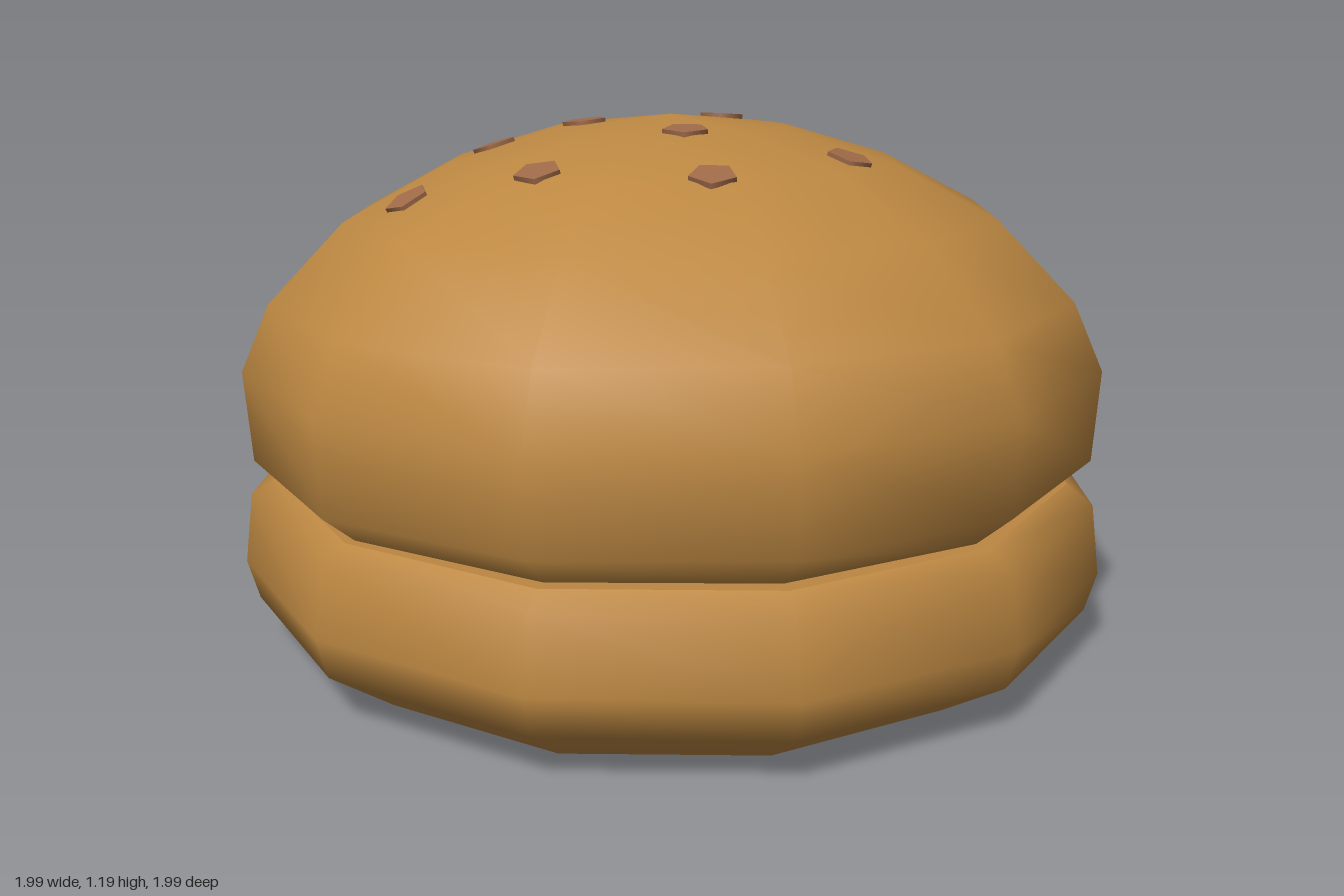
import * as THREE from 'three';

const SIDES = 12;
const TURN = THREE.MathUtils.degToRad(-5.2);

// Twelve-sided smooth shell turned from [radius, height] pairs, bottom to top
function turned(profile) {
  const points = profile.map(([r, y]) => new THREE.Vector2(r, y));
  return new THREE.LatheGeometry(points, SIDES, TURN, Math.PI * 2);
}

export function createModel() {
  const group = new THREE.Group();
  const crust = new THREE.MeshStandardMaterial({ name: 'goldenCrust', color: 0xbd8842 });
  const seedBrown = new THREE.MeshStandardMaterial({ name: 'seedBrown', color: 0x9f6a48 });

  const add = (name, geometry, material) => {
    const mesh = new THREE.Mesh(geometry, material);
    mesh.name = name;
    group.add(mesh);
    return mesh;
  };

  // Lower bun: the bulging middle leans a little, base and lid stay level
  const lower = turned([[0.82, 0], [0.975, 0.1], [1.0, 0.19], [0.98, 0.35], [0.92, 0.39]]);
  const pos = lower.attributes.position;
  for (let i = 0; i < pos.count; i++) {
    const y = pos.getY(i);
    if (y > 0.01 && y < 0.38) pos.setY(i, y - 0.012 * pos.getX(i));
  }
  add('lowerBun', lower, crust);

  // Flat discs closing the lower bun
  const disc = (r) => new THREE.CircleGeometry(r, SIDES).rotateX(-Math.PI / 2).rotateY(TURN);
  add('lowerBunLid', disc(0.92), crust).position.y = 0.39;
  add('lowerBunBase', new THREE.CircleGeometry(0.82, SIDES).rotateX(Math.PI / 2).rotateY(TURN), crust);

  // Domed upper bun, set slightly askew with its rim sunk into the lower bun
  const dome = turned([
    [0.88, 0.36], [0.97, 0.435], [0.985, 0.64], [0.92, 0.79],
    [0.75, 0.965], [0.52, 1.085], [0.27, 1.16], [0, 1.188],
  ]);
  dome.translate(0, -0.39, 0);
  const upper = add('upperBun', dome, crust);
  upper.position.y = 0.39;
  upper.rotation.set(-0.025, 0, -0.02);
  upper.updateMatrixWorld(true);

  // Five-sided seeds laid on the facets of the dome
  const seeds = new THREE.Group();
  seeds.name = 'seeds';
  group.add(seeds);
  const seedShape = new THREE.CylinderGeometry(0.052, 0.052, 0.012, 5, 1, false, Math.PI / 2).toNonIndexed();
  const up = new THREE.Vector3(0, 1, 0);
  const ray = new THREE.Raycaster();
  const spots = [
    [0.05, -0.47], [-0.55, -0.28], [-0.26, -0.31], [0.33, -0.33], [-0.11, -0.17], [0.2, -0.02],
    [-0.46, 0.03], [0.41, 0.07], [-0.13, 0.15], [-0.29, 0.36], [0.1, 0.42],
  ];
  for (const [x, z] of spots) {
    ray.set(new THREE.Vector3(x, 2, z), new THREE.Vector3(0, -1, 0));
    const hit = ray.intersectObject(upper)[0];
    if (!hit) continue;
    const normal = hit.face.normal.clone().transformDirection(upper.matrixWorld);
    const seed = new THREE.Mesh(seedShape, seedBrown);
    seed.name = 'seed';
    seed.position.copy(hit.point).addScaledVector(normal, 0.003);
    seed.quaternion.setFromUnitVectors(up, normal);
    seeds.add(seed);
  }

  return group;
}
